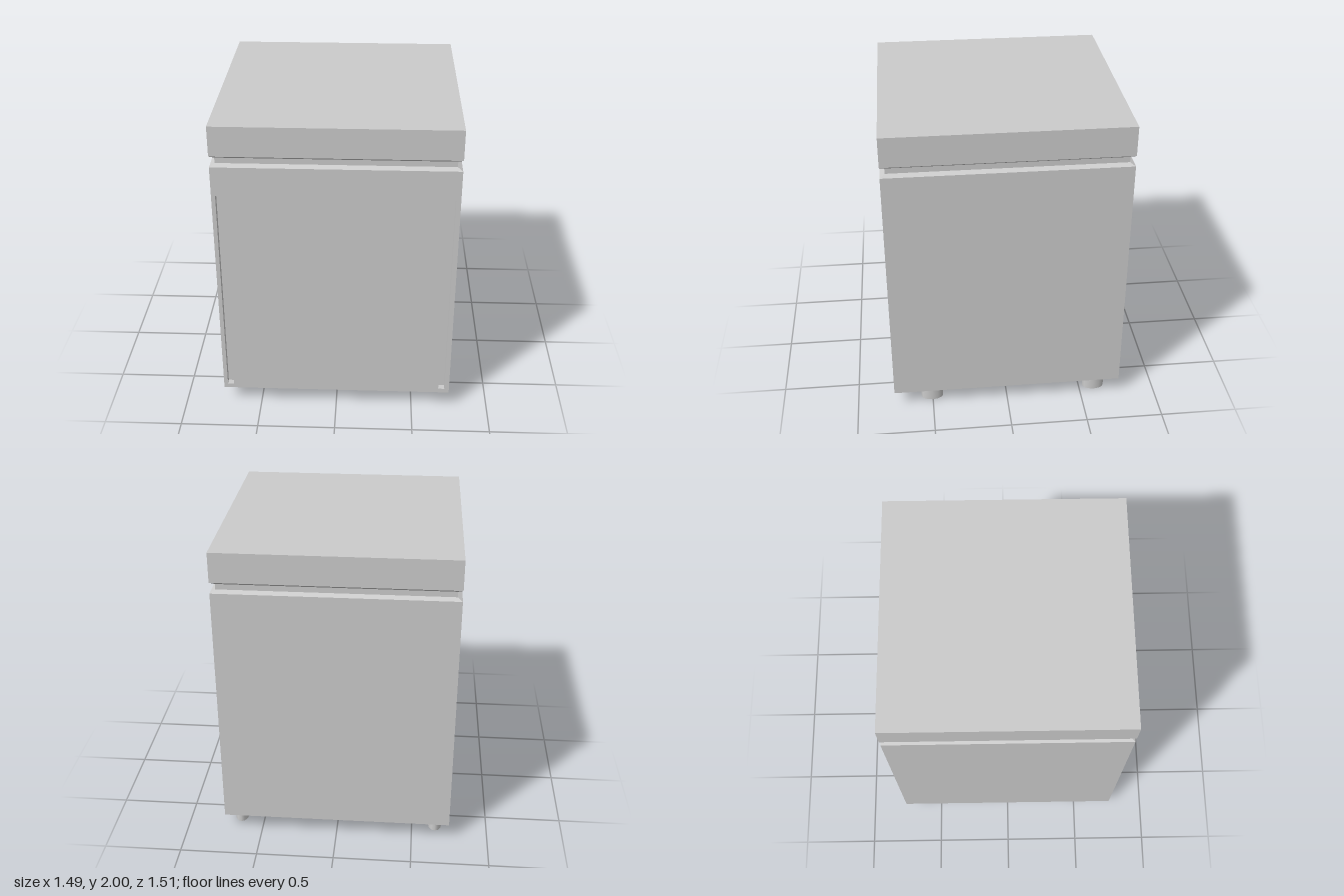
import * as THREE from 'three';

const W = 0.745, D = 0.755;          // half width and half depth
const Y0 = 0.115, Y1 = 1.74;         // cabinet bottom and top
const SLOT = 0.04;                   // depth of the front slots

export function createModel() {
  const group = new THREE.Group();
  const grey = new THREE.MeshStandardMaterial({ color: 0xcccccc });
  const flat = new THREE.MeshStandardMaterial({ color: 0xcccccc, flatShading: true });

  const add = (name, geometry, material, x = 0, y = 0, z = 0) => {
    const mesh = new THREE.Mesh(geometry, material);
    mesh.name = name;
    mesh.position.set(x, y, z);
    group.add(mesh);
    return mesh;
  };

  // Cabinet body behind the front panel
  add('cabinetBody', new THREE.BoxGeometry(2 * W, Y1 - Y0, 2 * D - SLOT), flat,
    0, (Y0 + Y1) / 2, -SLOT / 2);

  // Front panel with two tall recessed slots
  const rect = (path, x0, x1, y0, y1) =>
    path.moveTo(x0, y0).lineTo(x1, y0).lineTo(x1, y1).lineTo(x0, y1).closePath();
  const panel = rect(new THREE.Shape(), -W, W, Y0, Y1);
  for (const x of [-0.7, 0.695]) {
    panel.holes.push(rect(new THREE.Path(), x - 0.02, x + 0.02, 0.145, 1.55));
  }
  add('frontPanel', new THREE.ExtrudeGeometry(panel, { depth: SLOT, bevelEnabled: false }),
    flat, 0, 0, D - SLOT);

  // Square top: bevelled neck groove and thick lid, turned with four sides
  const profile = [[W, Y1], [0.715, 1.755], [0.715, 1.79], [W, 1.81], [W, 2], [0, 2]]
    .map(([r, y]) => new THREE.Vector2(r * Math.SQRT2, y));
  const top = new THREE.LatheGeometry(profile, 4, Math.PI / 4);
  top.scale(1, 1, D / W);
  add('lidAndNeck', top, flat);

  // Feet: [name, x, z, width, length]
  const feet = [
    ['frontLeftFoot', 0.655, 0.503, 0.09, 0.145],
    ['backLeftFoot', 0.655, -0.598, 0.09, 0.145],
    ['backRightFoot', -0.655, -0.598, 0.09, 0.145],
    ['frontRightFoot', -0.628, 0.503, 0.145, 0.145],
  ];
  for (const [name, x, z, w, l] of feet) {
    const foot = new THREE.CylinderGeometry(0.5, 0.5, Y0, 12);
    foot.scale(w, 1, l);
    add(name, foot, grey, x, Y0 / 2, z);
  }

  return group;
}
